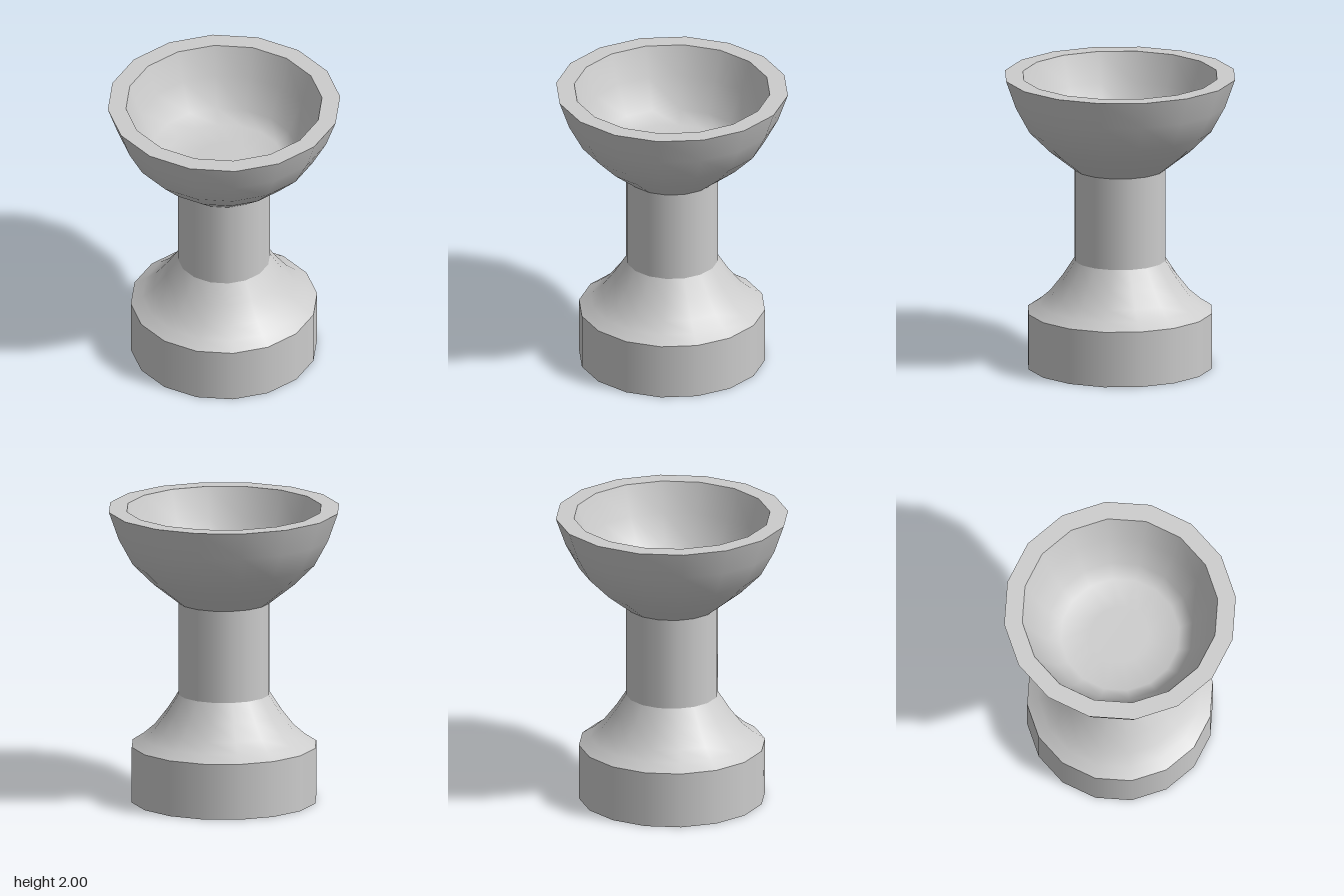
import * as THREE from 'three';

const SIDES = 16;

export function createModel() {
  const model = new THREE.Group();
  model.name = 'pedestalBowl';
  const material = new THREE.MeshStandardMaterial({ color: 0xcccccc });

  // Each part is a smooth lathe of [radius, height] points; part borders stay sharp.
  function turned(name, profile) {
    const points = profile.map(([r, y]) => new THREE.Vector2(r, y));
    const mesh = new THREE.Mesh(new THREE.LatheGeometry(points, SIDES), material);
    mesh.name = name;
    model.add(mesh);
  }

  // Base: dished underside, straight drum, flared shoulder
  turned('baseUnderside', [[0, 0.12], [0.36, 0.11], [0.5, 0.065], [0.627, 0]]);
  turned('baseDrum', [[0.627, 0], [0.627, 0.38]]);
  turned('baseShoulder', [[0.627, 0.38], [0.55, 0.43], [0.475, 0.495], [0.39, 0.605], [0.31, 0.73]]);

  // Stem
  turned('stem', [[0.31, 0.73], [0.31, 1.36]]);

  // Bowl: outside, flat rim, steep-walled hollow with a flat floor
  turned('bowlOutside', [[0.31, 1.36], [0.48, 1.495], [0.62, 1.635], [0.715, 1.81], [0.782, 2]]);
  turned('bowlRim', [[0.782, 2], [0.66, 2]]);
  turned('bowlInside', [[0.66, 2], [0.59, 1.8], [0.49, 1.6], [0.4, 1.53], [0.2, 1.525], [0, 1.525]]);

  return model;
}
